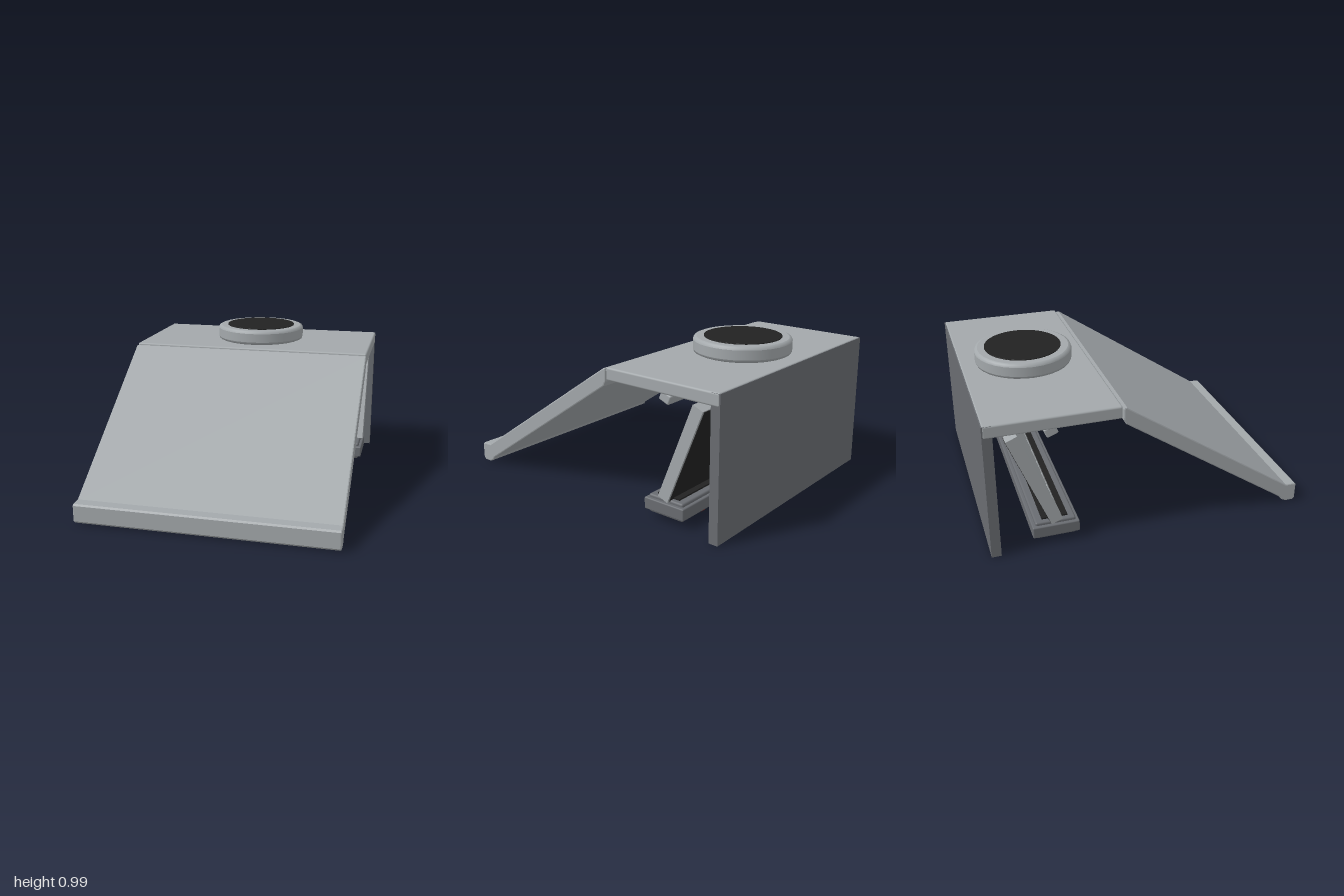
import * as THREE from 'three';
import { RoundedBoxGeometry } from 'three/addons/geometries/RoundedBoxGeometry.js';

const material = (name, color) => {
  const m = new THREE.MeshStandardMaterial({ color });
  m.name = name;
  return m;
};

export function createModel() {
  const light = material('light grey', 0xa3a8ab);
  const dark = material('dark grey', 0x696c71);
  const black = material('black', 0x222222);
  const red = material('red', 0xa03022);
  const model = new THREE.Group();

  const add = (name, geometry, mat, x = 0, y = 0, z = 0, parent = model) => {
    const mesh = new THREE.Mesh(geometry, mat);
    mesh.name = name;
    mesh.position.set(x, y, z);
    parent.add(mesh);
    return mesh;
  };
  const box = (w, h, d) => new THREE.BoxGeometry(w, h, d);
  const rounded = (w, h, d, r) => new RoundedBoxGeometry(w, h, d, 2, r);

  // Side profile of [z, y] points, swept across x with a small bevel
  const sweep = (points, width, bevel) => {
    const shape = new THREE.Shape(points.map(p => new THREE.Vector2(...p)));
    const g = new THREE.ExtrudeGeometry(shape, {
      depth: width - 2 * bevel, bevelEnabled: true, bevelSize: bevel,
      bevelThickness: bevel, bevelOffset: -bevel, bevelSegments: 2,
    });
    return g.translate(0, 0, -width / 2 + bevel).rotateY(-Math.PI / 2);
  };
  // Closed round disc with chamfered rims, standing on y = 0
  const disc = (r, h, c, sides) => {
    const profile = [[0, 0], [r - c, 0], [r - c, 0], [r - c * 0.3, c * 0.3], [r, c], [r, c],
      [r, h - c], [r, h - c], [r - c * 0.3, h - c * 0.3], [r - c, h], [r - c, h], [0, h]];
    return new THREE.LatheGeometry(profile.map(p => new THREE.Vector2(...p)), sides);
  };

  // Housing: top plate, rear wall and sloping front
  add('topPlate', rounded(1.62, 0.08, 0.807, 0.012), light, 0, 0.84, -0.5935);
  add('rearWall', box(1.616, 0.876, 0.06), dark, 0, 0.438, -0.97);
  add('slopingFront', sweep([
    [0.92, 0.13], [0.905, 0.035], [0.92, 0.012], [0.935, 0.005], [0.985, 0.005], [1, 0.02],
    [1, 0.12], [0.99, 0.13], [0.925, 0.132], [-0.165, 0.868], [-0.18, 0.868],
    [-0.185, 0.855], [-0.185, 0.79], [-0.17, 0.76], [0.89, 0.042], [0.905, 0.02],
  ].slice(2), 1.62, 0.008), light);

  // Round knob with a black inlay
  add('knob', disc(0.308, 0.1, 0.02, 32), light, 0, 0.88, -0.595);
  add('knobInlay', disc(0.242, 0.007, 0.001, 48), black, 0, 0.978, -0.597);

  // Stepped boss and tilted rail under the top plate
  add('bossUpper', disc(0.15, 0.04, 0.004, 32), light, 0, 0.765, -0.42);
  add('bossLower', disc(0.12, 0.03, 0.004, 32), light, 0, 0.742, -0.43);
  add('hangingRail', rounded(1.56, 0.06, 0.075, 0.01), light, 0, 0.77, -0.605).rotation.x = -0.39;

  // Leaning frame with upright slats and a black back
  const frame = new THREE.Group();
  frame.name = 'leaningFrame';
  frame.position.set(0, 0.455, -0.712);
  frame.rotation.x = -0.385;
  model.add(frame);
  for (const side of [-1, 1]) {
    add('frameSide', box(0.1, 0.653, 0.074), light, side * 0.73, 0, 0, frame);
    add('frameRail', box(1.36, 0.07, 0.07), light, 0, side * 0.29, 0, frame);
  }
  add('frameCore', box(1.36, 0.51, 0.03), black, 0, 0, -0.015, frame);
  add('frameBack', box(1.53, 0.64, 0.006), black, 0, 0, -0.037, frame);
  for (let i = -4; i <= 4; i++) {
    add('slat', box(0.09, 0.51, 0.05), light, i * 0.147, 0, 0.008, frame);
  }

  // Long foot with a stepped body, top channel and one red button
  add('footBand', rounded(1.56, 0.075, 0.29, 0.008), dark, 0, 0.092, -0.595);
  add('footBody', rounded(1.52, 0.115, 0.25, 0.012), dark, 0, 0.092, -0.595);
  add('footChannel', box(1.46, 0.012, 0.16), black, 0, 0.153, -0.595);
  add('redButton', disc(0.088, 0.04, 0.012, 24), red, 0.5, 0, -0.595);

  return model;
}
